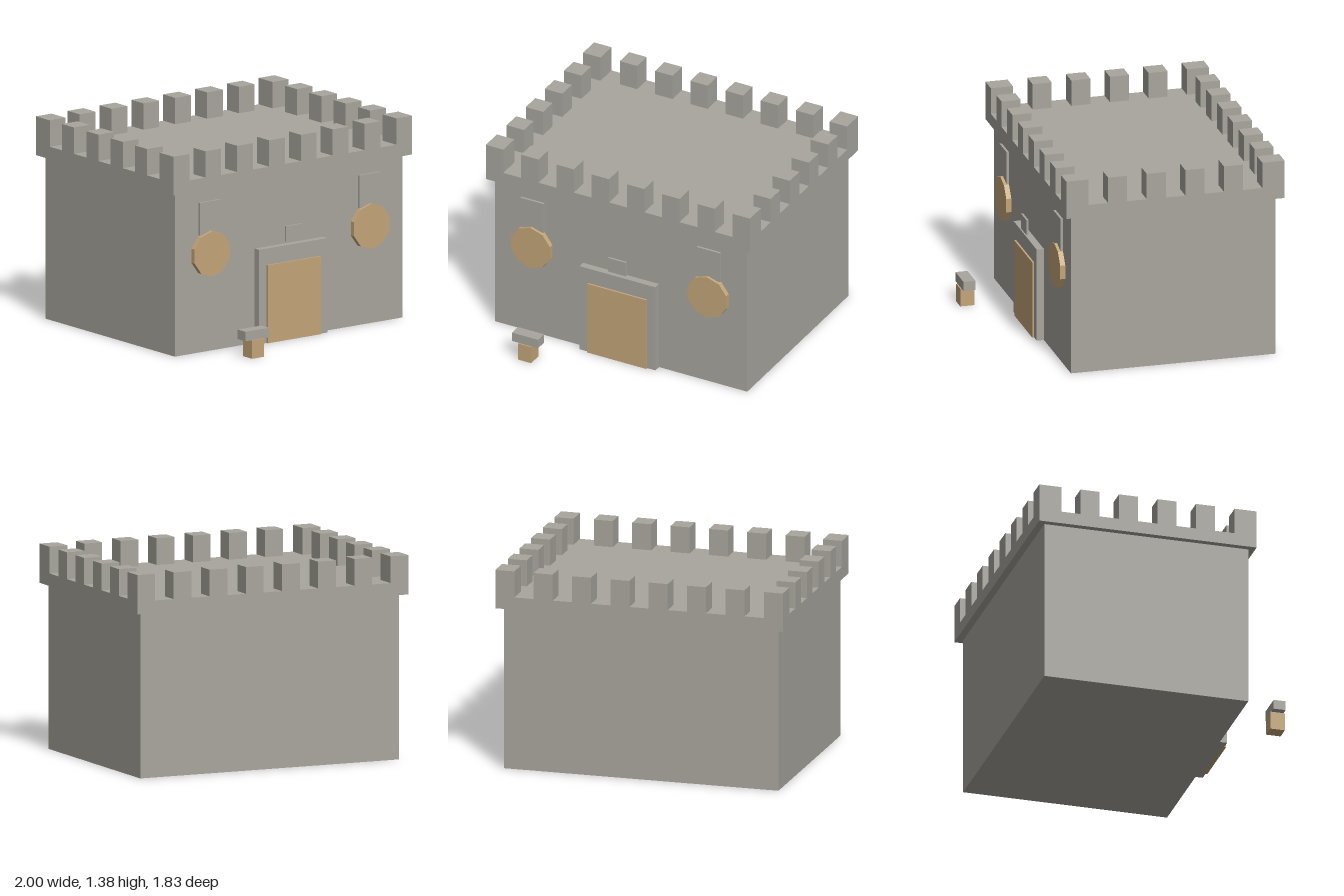
import * as THREE from 'three';

export function createModel() {
  const castle = new THREE.Group();
  castle.name = 'castle';
  const stone = new THREE.MeshStandardMaterial({ color: 0xa9a69e });
  stone.name = 'stone';
  const wood = new THREE.MeshStandardMaterial({ color: 0xc4a679 });
  wood.name = 'wood';

  // Box given by its extents on each axis
  function block(name, material, [x0, x1], [y0, y1], [z0, z1], parent = castle) {
    const mesh = new THREE.Mesh(new THREE.BoxGeometry(x1 - x0, y1 - y0, z1 - z0), material);
    mesh.position.set((x0 + x1) / 2, (y0 + y1) / 2, (z0 + z1) / 2);
    mesh.name = name;
    parent.add(mesh);
    return mesh;
  }

  const back = -0.913, front = 0.595;

  // Keep and overhanging cornice
  block('keepWalls', stone, [-0.955, 0.955], [0, 1.115], [-0.865, 0.55]);
  block('cornice', stone, [-1, 1], [1.115, 1.2], [back, front]);

  // Battlements: corners are a little deeper than the others
  const battlements = new THREE.Group();
  battlements.name = 'battlements';
  castle.add(battlements);
  const height = [1.2, 1.38], size = 0.132;
  for (let i = 0; i < 8; i++) {
    const x = -1 + i * (2 - size) / 7;
    const depth = i === 0 || i === 7 ? 0.153 : size;
    block('frontMerlon', stone, [x, x + size], height, [front - depth, front], battlements);
    block('backMerlon', stone, [x, x + size], height, [back, back + depth], battlements);
  }
  for (let i = 0; i < 4; i++) {
    const z = -0.627 + i * 0.267;
    block('rightMerlon', stone, [-1, -1 + size], height, [z, z + size], battlements);
    block('leftMerlon', stone, [1 - size, 1], height, [z, z + size], battlements);
  }

  // Doorway
  block('doorFrame', stone, [-0.287, 0.287], [0, 0.645], [0.55, 0.6]);
  block('door', wood, [-0.223, 0.223], [0, 0.533], [0.59, 0.613]);
  block('doorPlaque', stone, [-0.067, 0.067], [0.672, 0.777], [0.595, 0.61]);

  // Hanging shields with their stone plates
  for (const side of [-1, 1]) {
    const x = side * 0.668;
    block('shieldPlate', stone, [x - 0.089, x + 0.089], [0.8, 1.025], [0.55, 0.566]);
    const shield = new THREE.Mesh(new THREE.CylinderGeometry(0.155, 0.155, 0.037, 10).toNonIndexed(), wood);
    shield.geometry.computeVertexNormals();
    shield.rotation.x = Math.PI / 2;
    shield.position.set(x, 0.669, 0.567);
    shield.name = 'shield';
    castle.add(shield);
  }

  // Small post in front of the gate
  block('post', wood, [-0.585, -0.485], [0, 0.125], [0.813, 0.913]);
  block('postCap', stone, [-0.635, -0.437], [0.125, 0.19], [0.821, 0.904]);

  return castle;
}
